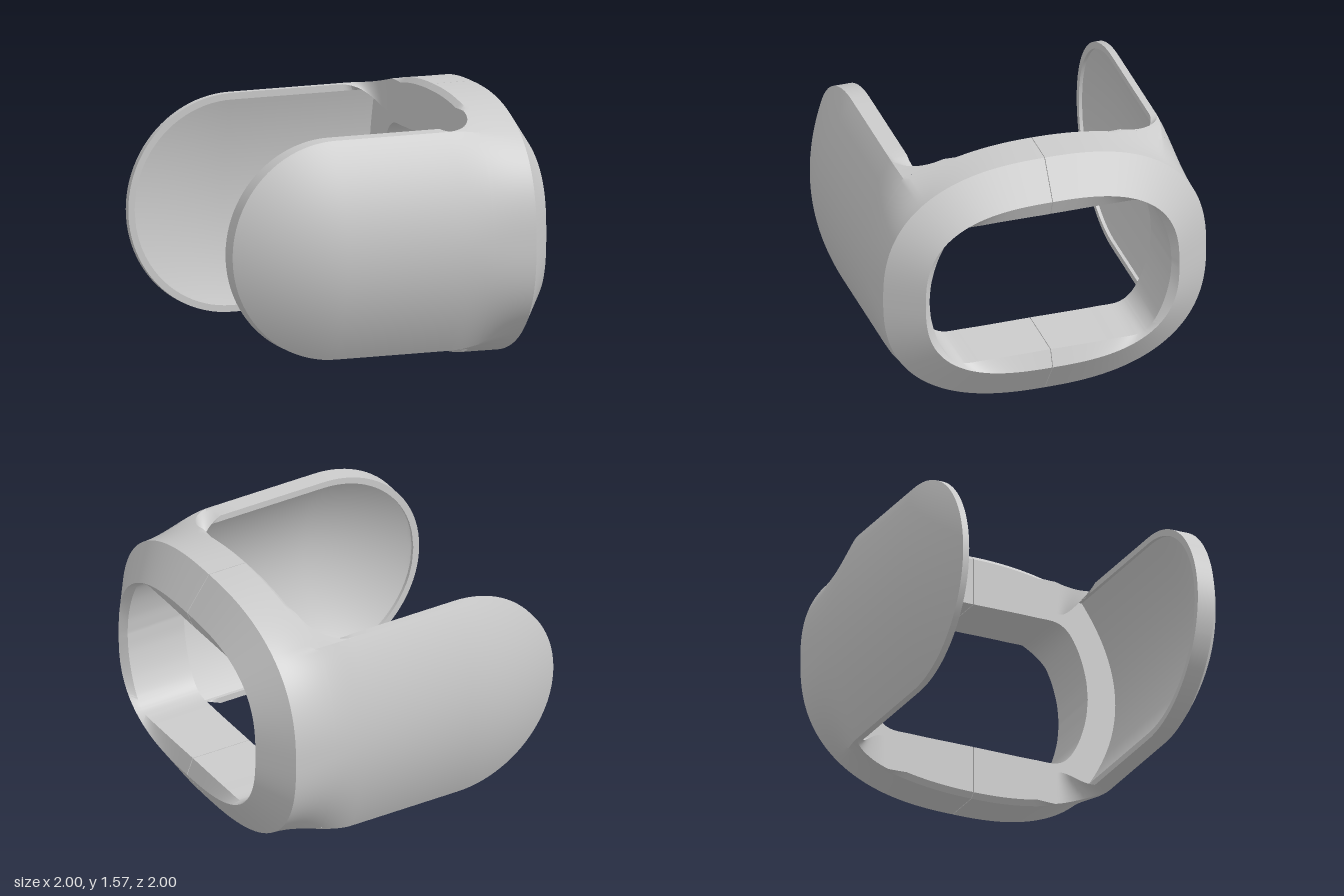
import * as THREE from 'three';
import { toCreasedNormals } from 'three/addons/utils/BufferGeometryUtils.js';

const CY = 0.785;        // height of the long axis
const ARM_H = 0.655;     // half height of an arm, also the radius of its round tip
const LIP_H = 0.615;     // half height of the hollow inside an arm
const TIP_X = -0.345;    // centre of the round tip
const RING_X = 0.575;    // where the arms meet the ring
const FILLET_X = 0.36;   // where the arms start widening into the ring
const CORNER = 0.6;      // section parameter at the upper edge of an arm
const { clamp, lerp, smoothstep } = THREE.MathUtils;
const mat = new THREE.MeshStandardMaterial({ color: 0xcccccc });

// Skin rows of points [x, y, z]; z is multiplied by side to mirror a half.
function skin(rows, side, { closeRows = false, closeCols = false, caps = false }) {
  const pos = [];
  const a = new THREE.Vector3(), b = new THREE.Vector3(), c = new THREE.Vector3();
  const tri = (p, q, r) => {
    if (side < 0) [q, r] = [r, q];
    a.set(...p); b.set(...q); c.set(...r);
    if (b.sub(a).cross(c.sub(a)).length() < 1e-9) return;
    for (const v of [p, q, r]) pos.push(v[0], v[1] + CY, v[2] * side);
  };
  const n = rows.length, m = rows[0].length;
  for (let i = 0; i < (closeRows ? n : n - 1); i++) {
    for (let j = 0; j < (closeCols ? m : m - 1); j++) {
      const r0 = rows[i], r1 = rows[(i + 1) % n], k = (j + 1) % m;
      tri(r0[j], r1[j], r1[k]);
      tri(r0[j], r1[k], r0[k]);
    }
  }
  if (caps) {
    for (let i = 1; i < n - 1; i++) {
      tri(rows[0][m - 1], rows[i][m - 1], rows[i + 1][m - 1]);
      tri(rows[0][0], rows[i + 1][0], rows[i][0]);
    }
  }
  const g = new THREE.BufferGeometry();
  g.setAttribute('position', new THREE.Float32BufferAttribute(pos, 3));
  return toCreasedNormals(g, 0.5);
}

// Sections return [z, y] for t from -1 (bottom) through 0 (side) to 1 (top).
function oval(t, rz, ry, n) {
  const u = Math.abs(t);
  const ang = (u < CORNER ? u / CORNER : 1 + (u - CORNER) / (1 - CORNER)) * Math.PI / 4;
  return [Math.max(0, Math.cos(ang)) ** (2 / n) * rz, Math.sign(t) * Math.sin(ang) ** (2 / n) * ry];
}

function band(t, edge) {
  const u = Math.abs(t), s = u / CORNER;
  if (s <= 1) return [1 - (1 - edge) * s * s, t / CORNER * ARM_H];
  const rest = (1 - u) / (1 - CORNER);
  return [edge * rest, Math.sign(t) * (CY - (CY - ARM_H) * rest * rest)];
}

// Outside of arms and ring: cornered along the arms, rounder towards the bevel
function shell(x, t, edge) {
  const p = band(t, edge), o = oval(t, 1, CY, 2.5), k = smoothstep(x, 0.38, 0.85);
  return [lerp(p[0], o[0], k), lerp(p[1], o[1], k)];
}

const openingCurve = new THREE.CatmullRomCurve3([
  [0.75, 0], [0.737, 0.13], [0.69, 0.29], [0.62, 0.41], [0.55, 0.455], [0.4, 0.4625], [0, 0.4625],
].map(([z, y]) => new THREE.Vector3(z, y, 0)));

function opening(t) {
  const p = openingCurve.getPoint(Math.abs(t));
  return [p.x, Math.sign(t) * p.y];
}

// Arm: a hollow curved plate with a round tip, flaring into the ring
function armGeometry(side, edge, rim) {
  const N = 60, M = 8, W = 5, depth = edge - rim, hollow = 0.93;
  const tipZ = d => 1 - (1 - edge) * (d / ARM_H) ** 2;
  const innerZ = d => hollow - (hollow - rim - 0.02) * (d / LIP_H) ** 2;
  const stations = [TIP_X - LIP_H];
  for (let i = 0; i <= 24; i++) stations.push(TIP_X - ARM_H * Math.cos(i / 24 * Math.PI / 2));
  for (let i = 1; i <= 6; i++) stations.push(lerp(TIP_X, FILLET_X, i / 6));
  for (let i = 1; i <= 20; i++) stations.push(lerp(FILLET_X, RING_X, Math.sin(i / 20 * Math.PI / 2)));
  stations.sort((p, q) => p - q);

  const rows = stations.map(x => {
    const off = Math.max(0, TIP_X - x), offIn = Math.min(off, LIP_H);
    const h = Math.sqrt(Math.max(0, ARM_H ** 2 - off ** 2));
    const hIn = Math.sqrt(Math.max(0, LIP_H ** 2 - offIn ** 2));
    const f = clamp((x - FILLET_X) / (RING_X - FILLET_X), 0, 1);
    const turn = Math.asin(f);
    const tEnd = CORNER + (1 - CORNER) * 0.34 * (1 - Math.cos(turn));
    const outer = t => {
      if (off === 0) return shell(x, t, edge);
      const y = h * clamp(t / CORNER, -1, 1);
      return [tipZ(Math.hypot(y, off)), y];
    };
    const [endZ, endY] = outer(tEnd);
    const lipZ = endZ - depth * Math.cos(turn);
    const lipY = endY - lerp(depth, 0.2, f * f) * f;
    const row = [];
    const add = t => { const [z, y] = outer(t); row.push([x, y, z]); };
    // outer face between its flared edges
    for (let j = M; j >= 1; j--) add(-lerp(CORNER, tEnd, j / M));
    for (let j = 0; j <= N; j++) add(CORNER * (2 * j / N - 1));
    for (let j = 1; j <= M; j++) add(lerp(CORNER, tEnd, j / M));
    // upper edge wall, hollow inner face and lower edge wall
    for (let j = 1; j <= W; j++) row.push([x, lerp(endY, lipY, j / W), lerp(endZ, lipZ, j / W)]);
    row.push([x, hIn, rim]);
    for (let j = 0; j <= N; j++) {
      const y = hIn * (1 - 2 * j / N);
      row.push([x, y, innerZ(Math.hypot(y, offIn))]);
    }
    row.push([x, -hIn, rim]);
    for (let j = W; j >= 1; j--) row.push([x, -lerp(endY, lipY, j / W), lerp(endZ, lipZ, j / W)]);
    return row;
  });
  return skin(rows, side, { closeCols: true });
}

// Half of the ring: rounded outside, bevelled end, straight opening with a sloped lip
function ringGeometry(side, edge) {
  const T = 100, SEAM = 0.002;
  const row = (x, section) => {
    const pts = [];
    for (let j = 0; j <= T; j++) {
      const [z, y] = section(2 * j / T - 1);
      pts.push([x, y, Math.max(z, SEAM)]);
    }
    return pts;
  };
  // inner edge, slightly bevelled between the arms
  const rows = [row(RING_X, t => {
    const [z, y] = shell(RING_X, t, edge);
    const q = (Math.abs(t) - CORNER) / (1 - CORNER);
    return [z, y - Math.sign(t) * 0.03 * clamp((q - 0.35) / 0.15, 0, 1)];
  })];
  for (let i = 0; i <= 10; i++) {
    const x = lerp(0.605, 0.85, i / 10);
    rows.push(row(x, t => shell(x, t, edge)));
  }
  rows.push(row(1, t => oval(t, 0.785, 0.565, 2.7)));
  rows.push(row(0.96, opening), row(RING_X, opening));
  return skin(rows, side, { closeRows: true, caps: true });
}

export function createModel() {
  const model = new THREE.Group();
  model.name = 'cuff';
  const halves = [
    { name: 'front', side: 1, edge: 0.8, rim: 0.69 },
    { name: 'back', side: -1, edge: 0.85, rim: 0.81 },
  ];
  for (const { name, side, edge, rim } of halves) {
    const arm = new THREE.Mesh(armGeometry(side, edge, rim), mat);
    arm.name = name + 'Arm';
    const ring = new THREE.Mesh(ringGeometry(side, edge), mat);
    ring.name = name + 'RingHalf';
    model.add(arm, ring);
  }
  return model;
}
